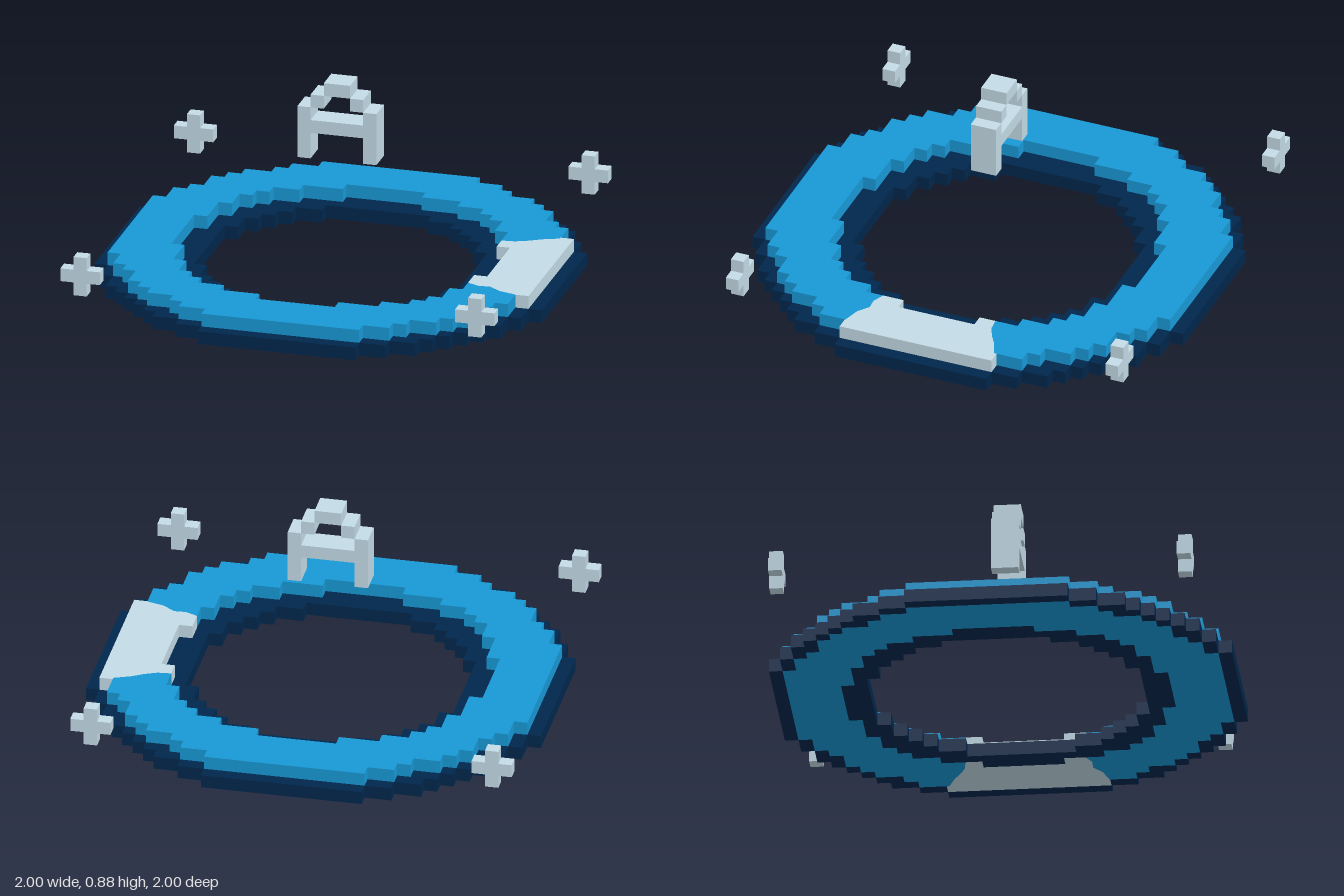
import * as THREE from 'three';

const U = 1 / 17; // one voxel

const navy = new THREE.MeshStandardMaterial({ color: 0x00274d });
navy.name = 'navy';
const blue = new THREE.MeshStandardMaterial({ color: 0x1899d6 });
blue.name = 'blue';
const silver = new THREE.MeshStandardMaterial({ color: 0xc5dde9 });
silver.name = 'silver';

// Closed stepped circle from the outer corners of its first quadrant
function steppedCircle(corners) {
  const quadrant = [];
  corners.forEach(([x, z], i) => {
    if (i > 0) quadrant.push([x, corners[i - 1][1]]);
    quadrant.push([x, z]);
  });
  const loop = [];
  for (let k = 0; k < 4; k++) {
    for (const [x, z] of quadrant) {
      loop.push([[x, z], [-z, x], [-x, -z], [z, -x]][k]);
    }
  }
  return loop;
}

const toPoints = (loop) => loop.map(([x, z]) => new THREE.Vector2(x * U, z * U));

// Flat slab standing on the ground, its height given in voxels
function slab(name, material, height, outline, hole) {
  const shape = new THREE.Shape(toPoints(outline));
  if (hole) shape.holes.push(new THREE.Path(toPoints(hole)));
  const geometry = new THREE.ExtrudeGeometry(shape, { depth: height * U, bevelEnabled: false });
  geometry.rotateX(Math.PI / 2).translate(0, height * U, 0);
  const mesh = new THREE.Mesh(geometry, material);
  mesh.name = name;
  return mesh;
}

// Box between two voxel corners
function block(name, a, b) {
  const s = a.map((v, i) => (b[i] - v) * U);
  const mesh = new THREE.Mesh(new THREE.BoxGeometry(...s), silver);
  mesh.position.set(...a.map((v, i) => ((v + b[i]) / 2) * U));
  mesh.name = name;
  return mesh;
}

export function createModel() {
  const model = new THREE.Group();
  model.name = 'voxelRing';

  const rimOuter = steppedCircle([[17, 6], [16, 8], [15, 10], [14, 11], [13, 12],
    [12, 13], [11, 14], [10, 15], [8, 16], [6, 17]]);
  const bandOuter = steppedCircle([[16, 6], [15, 8], [14, 9], [13, 11], [12, 12],
    [11, 13], [9, 14], [8, 15], [6, 16]]);
  const bandInner = steppedCircle([[12, 3], [11, 6], [10, 8], [9, 9], [8, 10],
    [6, 11], [3, 12]]);
  const rimInner = steppedCircle([[10, 4], [9, 6], [8, 7], [7, 8], [6, 9], [4, 10]]);

  // Low rims on both sides of the band
  model.add(slab('outerRim', navy, 1, rimOuter, bandOuter));
  model.add(slab('innerRim', navy, 1, bandInner, rimInner));

  // Taller band, with a silver section set in between two ragged cuts
  const backCut = [[15, -6], [15, -5.8], [13.8, -5.3], [12.9, -4.75], [12, -4.35], [11, -4.25]];
  const frontCut = [[11, 4.6], [11.9, 5], [12.8, 4.95], [13.7, 5.6], [15, 5.95], [15, 6]];
  const outerPath = bandOuter.slice(2, -2);
  const innerPath = bandInner.slice(2, -2).reverse();
  model.add(slab('blueBand', blue, 2, [...outerPath, ...backCut, ...innerPath, ...frontCut]));
  model.add(slab('silverSection', silver, 2, [[16, 6], [16, -6], ...backCut,
    [11, -3], [12, -3], [12, 3], [11, 3], ...frontCut]));

  // Floating plus-shaped sparkles at the corners
  for (const x of [-17, 13]) {
    for (const z of [-16, 14]) {
      const sparkle = new THREE.Group();
      sparkle.name = 'sparkle';
      sparkle.add(block('sparkleUpright', [x + 1, 2, z], [x + 2, 5, z + 1]));
      for (const dx of [0, 2]) {
        sparkle.add(block('sparkleArm', [x + dx, 3, z], [x + dx + 1, 4, z + 1]));
      }
      model.add(sparkle);
    }
  }

  // Floating stepped arch over the centre
  const arch = new THREE.Group();
  arch.name = 'arch';
  for (const x of [-3, 2]) arch.add(block('archLeg', [x, 9, -1], [x + 1, 13, 1]));
  for (const x of [-2, 1]) arch.add(block('archShoulder', [x, 13, -1], [x + 1, 14, 1]));
  arch.add(block('archCrossbar', [-2, 11, -1], [2, 12, 1]));
  arch.add(block('archTop', [-1, 14, -1], [1, 15, 1]));
  model.add(arch);

  return model;
}
